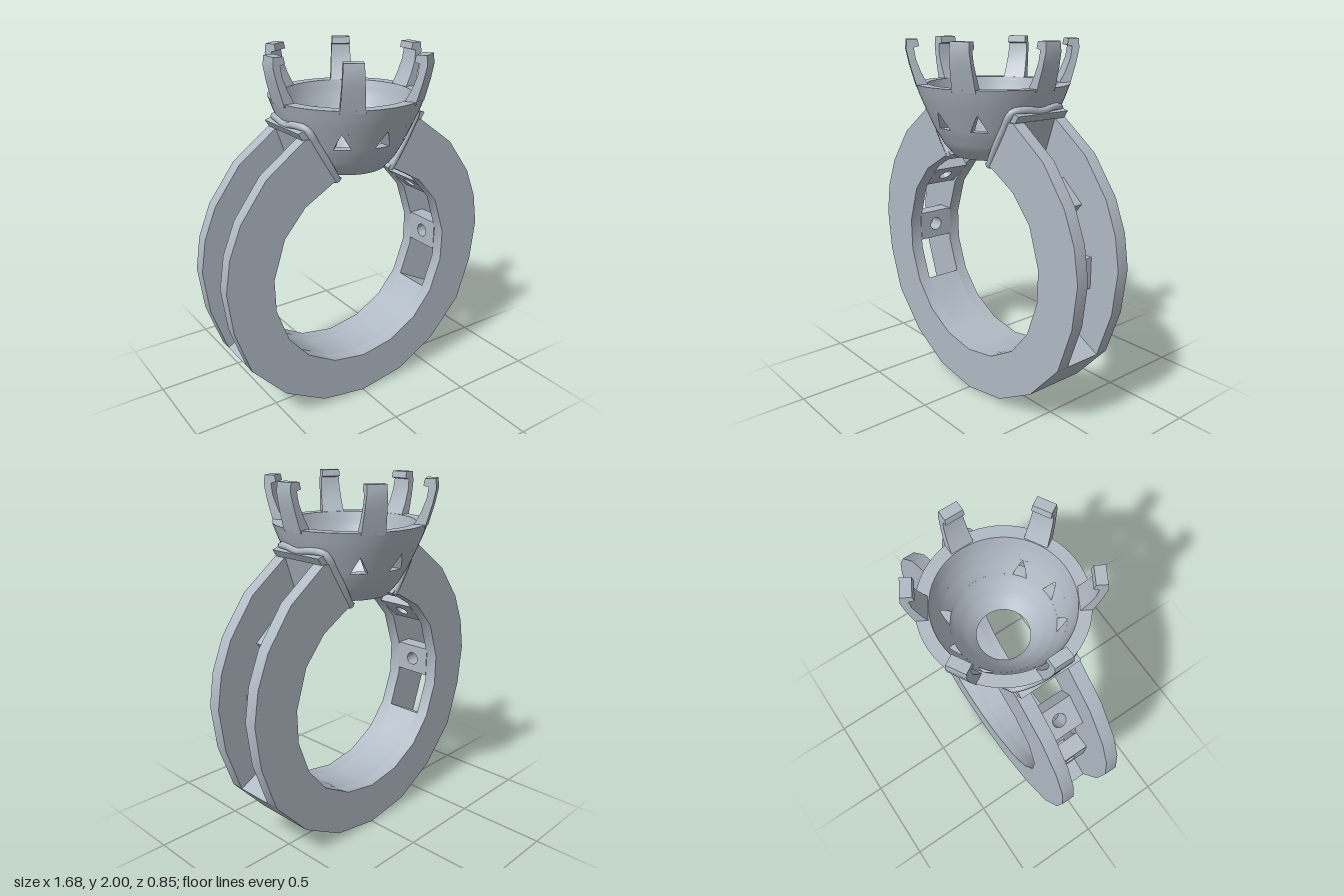
import * as THREE from 'three';
import { mergeGeometries, toCreasedNormals } from 'three/addons/utils/BufferGeometryUtils.js';

const metal = new THREE.MeshStandardMaterial({ color: 0xb0bac4 });
metal.name = 'silver metal';

const V2 = (p) => new THREE.Vector2(p[0], p[1]);
const flip = (pts) => pts.map(([x, y]) => [-x, y]);

// Right-hand half outlines of the band, from bottom to top
const outer = [[0.275, 0.045], [0.525, 0.185], [0.725, 0.405], [0.812, 0.66], [0.84, 0.9],
  [0.81, 1.08], [0.74, 1.25], [0.59, 1.45], [0.37, 1.61]];
const inner = [[0.2, 0.28], [0.375, 0.38], [0.495, 0.525], [0.565, 0.72], [0.57, 0.9],
  [0.5, 1.115], [0.375, 1.26], [0.21, 1.355]];
const seat = [[0.15, 1.375], [0.22, 1.43], [0.3, 1.61]]; // where the band meets the cup

// Cup wall: [y, inner radius, outer radius]
const wall = [[1.385, 0.14, 0.215], [1.45, 0.2, 0.27], [1.53, 0.255, 0.315],
  [1.63, 0.305, 0.36], [1.7, 0.332, 0.39], [1.77, 0.35, 0.415]];

function wallRadius(y, t) {
  let i = 0;
  while (i < wall.length - 2 && y > wall[i + 1][0]) i++;
  const [a, b] = [wall[i], wall[i + 1]];
  const k = (y - a[0]) / (b[0] - a[0]);
  const ri = a[1] + (b[1] - a[1]) * k, ro = a[2] + (b[2] - a[2]) * k;
  return ri + (ro - ri) * t;
}

// Prism along z from an x-y outline
function prism(pts, z0, z1) {
  const g = new THREE.ExtrudeGeometry(new THREE.Shape(pts.map(V2)), { depth: z1 - z0, bevelEnabled: false });
  return g.translate(0, 0, z0);
}

// Piece of the cup wall between two angles that may change with height
function wallPiece(lo, hi, y0, y1, nu, nv) {
  const g = new THREE.BoxGeometry(1, 1, 1, nu, nv, 1);
  const p = g.attributes.position;
  for (let i = 0; i < p.count; i++) {
    const u = p.getX(i) + 0.5, v = p.getY(i) + 0.5, t = p.getZ(i) + 0.5;
    const a = lo(v) + (hi(v) - lo(v)) * u, y = y0 + (y1 - y0) * v, r = wallRadius(y, t);
    p.setXYZ(i, r * Math.sin(a), y, r * Math.cos(a));
  }
  return g;
}

export function createModel() {
  const group = new THREE.Group();
  const add = (name, geometry, crease = 0.5) => {
    const mesh = new THREE.Mesh(toCreasedNormals(geometry, crease), metal);
    mesh.name = name;
    group.add(mesh);
    return mesh;
  };

  // Two side cheeks of the band
  const cheek = [...flip(outer).reverse(), [0, 0], ...outer, ...[...seat].reverse(),
    ...[...inner].reverse(), [0, 0.245], ...flip(inner), ...flip(seat)];
  add('frontCheek', prism(cheek, 0.108, 0.18));
  add('backCheek', prism(cheek, -0.18, -0.108));

  // Solid lower part between the cheeks
  const lowOut = outer.slice(0, 3), lowIn = inner.slice(0, 3);
  add('bandBottom', prism([...flip(lowOut).reverse(), [0, 0], ...lowOut,
    ...[...lowIn].reverse(), [0, 0.245], ...flip(lowIn)], -0.108, 0.108));

  // Drilled cross bars in the channel: [inner x, inner y, tilt, height]
  const bars = [[0.565, 0.845, 0, 0.17], [0.45, 1.18, 0.86, 0.18]];
  for (const side of [1, -1]) {
    const label = side > 0 ? 'left' : 'right';
    bars.forEach(([x, y, tilt, h], i) => {
      const s = new THREE.Shape([[-0.11, -h / 2], [0.11, -h / 2], [0.11, h / 2], [-0.11, h / 2]].map(V2));
      s.holes.push(new THREE.Path().absarc(0, 0, 0.039, 0, Math.PI * 2, true));
      const g = new THREE.ExtrudeGeometry(s, { depth: 0.095, bevelEnabled: false, curveSegments: 16 });
      g.rotateY(Math.PI / 2).rotateZ(tilt).translate(x, y, 0);
      if (side < 0) g.rotateY(Math.PI);
      add(`${label}CrossBar${i + 1}`, g);
    });

    // Block under the cup and the small lip above it
    const block = prism([[0.15, 1.375], [0.21, 1.355], [0.27, 1.32], [0.37, 1.61], [0.32, 1.62], [0.22, 1.43]], -0.108, 0.108);
    const lip = prism([[0.34, 1.6], [0.375, 1.608], [0.4, 1.645], [0.345, 1.66]], -0.17, 0.17);
    // Bead along the joint of band and cup
    const half = [[0.17, 1.362, 0.165], [0.225, 1.455, 0.175], [0.295, 1.57, 0.175], [0.345, 1.655, 0.165], [0.37, 1.668, 0.09]];
    const path = new THREE.CatmullRomCurve3([...half, [0.375, 1.655, 0],
      ...half.map(([x, y, z]) => [x, y, -z]).reverse()].map((p) => new THREE.Vector3(...p)));
    const bead = new THREE.TubeGeometry(path, 48, 0.02, 8);
    for (const [name, g] of [['SeatBlock', block], ['Lip', lip], ['Bead', bead]]) {
      if (side < 0) g.rotateY(Math.PI);
      add(label + name, g, name === 'Bead' ? 1 : 0.5);
    }
  }

  // Cup with six triangular openings
  const full = [() => 0, () => Math.PI * 2];
  const pieces = [wallPiece(...full, 1.385, 1.55, 64, 8), wallPiece(...full, 1.64, 1.77, 64, 6)];
  const holes = [-38, 0, 38, 142, 180, 218].map(THREE.MathUtils.degToRad);
  holes.forEach((a, i) => {
    const b = i < 5 ? holes[i + 1] : holes[0] + Math.PI * 2;
    const w = 0.14;
    pieces.push(wallPiece((v) => a + w * (1 - v), (v) => b - w * (1 - v), 1.55, 1.64,
      Math.ceil((b - a) * 10), 6));
  });
  add('cup', mergeGeometries(pieces));

  // Six hooked prongs, slightly narrower at the top
  const prong = [[0.345, 1.755], [0.41, 1.755], [0.443, 1.87], [0.46, 1.95], [0.455, 2],
    [0.4, 2], [0.393, 1.965], [0.42, 1.958], [0.412, 1.9], [0.385, 1.83]];
  for (let i = 0; i < 6; i++) {
    const g = prism(prong, -0.063, 0.063);
    const p = g.attributes.position;
    for (let j = 0; j < p.count; j++) p.setZ(j, p.getZ(j) * (1 - (p.getY(j) - 1.755) * 0.9));
    g.rotateY((i * Math.PI) / 3);
    add(`prong${i + 1}`, g, 0.4);
  }
  return group;
}
